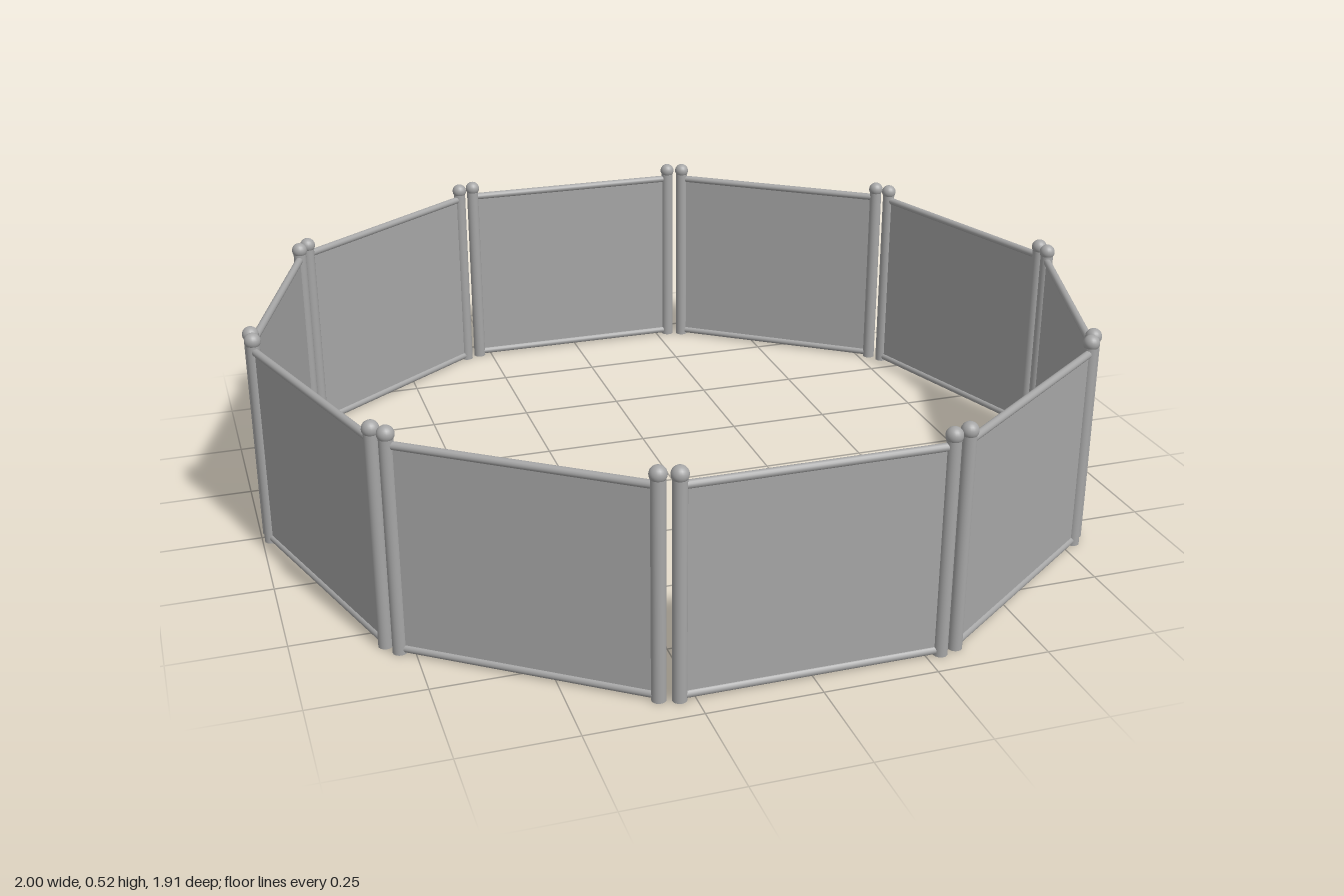
import * as THREE from 'three';

const SIDES = 10;
const APOTHEM = 0.938;
const HALF = 0.283; // post offset from the panel centre

export function createModel() {
  const metal = new THREE.MeshStandardMaterial({ color: 0xa6a6a6 });
  metal.name = 'grey metal';

  const postGeo = new THREE.CylinderGeometry(0.0155, 0.0155, 0.49, 20);
  const ballGeo = new THREE.SphereGeometry(0.0185, 20, 14);
  const railGeo = new THREE.CylinderGeometry(0.009, 0.009, HALF * 2, 14);
  railGeo.rotateZ(Math.PI / 2);
  const sheetGeo = new THREE.BoxGeometry(HALF * 2, 0.465, 0.006);

  const add = (parent, name, geo, x, y) => {
    const mesh = new THREE.Mesh(geo, metal);
    mesh.name = name;
    mesh.position.set(x, y, 0);
    parent.add(mesh);
  };

  // One fence section: sheet, two rails, two posts with ball caps
  const makeSection = () => {
    const section = new THREE.Group();
    section.name = 'fenceSection';
    add(section, 'sheet', sheetGeo, 0, 0.2425);
    add(section, 'topRail', railGeo, 0, 0.475);
    add(section, 'bottomRail', railGeo, 0, 0.012);
    for (const side of [-1, 1]) {
      add(section, 'post', postGeo, side * HALF, 0.245);
      add(section, 'postBall', ballGeo, side * HALF, 0.4985);
    }
    return section;
  };

  // Ring of sections
  const fence = new THREE.Group();
  fence.name = 'ringFence';
  for (let i = 0; i < SIDES; i++) {
    const angle = (i / SIDES) * Math.PI * 2;
    const section = makeSection();
    section.position.set(Math.sin(angle) * APOTHEM, 0, Math.cos(angle) * APOTHEM);
    section.rotation.y = angle;
    fence.add(section);
  }
  return fence;
}
